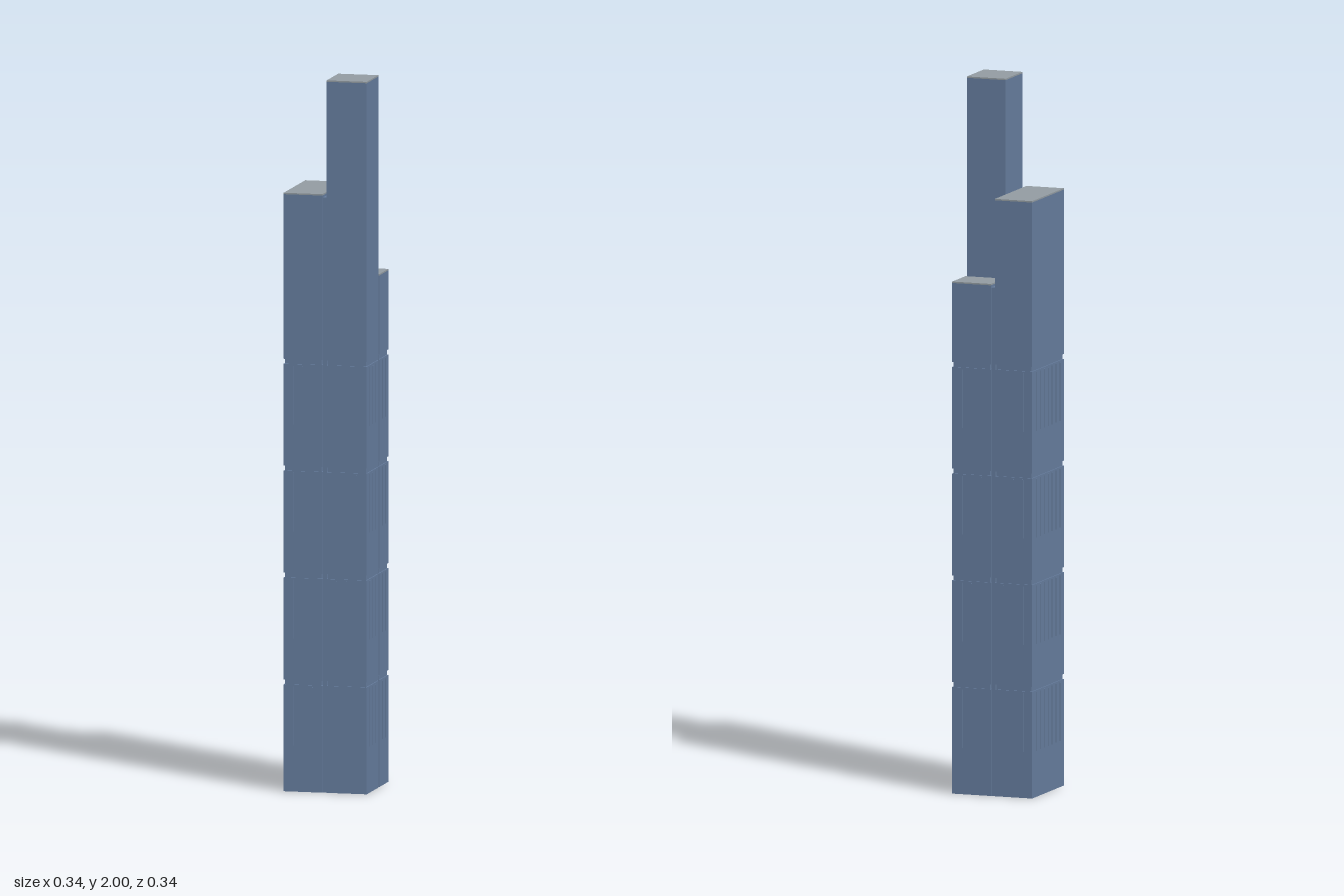
import * as THREE from 'three';

export function createModel() {
  const wall = new THREE.MeshStandardMaterial({ color: 0x667d9e });
  wall.name = 'blue glass wall';
  const roof = new THREE.MeshStandardMaterial({ color: 0x939ca2 });
  roof.name = 'grey roof';

  const tower = new THREE.Group();
  tower.name = 'tower';
  tower.rotation.y = THREE.MathUtils.degToRad(-40.5);

  // Box given by its two extremes on each axis
  const box = (name, mat, parent, x0, x1, y0, y1, z0, z1) => {
    const m = new THREE.Mesh(new THREE.BoxGeometry(x1 - x0, y1 - y0, z1 - z0), mat);
    m.position.set((x0 + x1) / 2, (y0 + y1) / 2, (z0 + z1) / 2);
    m.name = name;
    parent.add(m);
  };

  const X = 0.119, Z = 0.121; // half footprint
  const SEG = 0.3, BAND = 0.014, COUNT = 4, ROOF = 0.004;

  // Three shafts of different height, split by narrow slots
  const shafts = [
    { name: 'tallShaft', x: [0.004, X], z: [-0.009, Z], top: 2.0 },
    { name: 'wideShaft', x: [-X, -0.008], z: [-Z, Z], top: 1.68 },
    { name: 'lowShaft', x: [0.004, X], z: [-Z, -0.02], top: 1.44 },
  ];

  for (const { name, x: [x0, x1], z: [z0, z1], top } of shafts) {
    const g = new THREE.Group();
    g.name = name;
    tower.add(g);

    for (let i = 0; i < COUNT; i++) {
      const y0 = i * SEG + (i ? BAND : 0), y1 = (i + 1) * SEG;
      box('storeyBlock', wall, g, x0, x1, y0, y1, z0, z1);
      // recessed joint above each block
      const r = 0.003;
      box('joint', wall, g, x0 + r, x1 - r, y1, y1 + BAND, z0 + r, z1 - r);

      // slim fins on the upper part of the outer faces
      const f = 0.0015, d = 0.002, fy0 = y1 - 0.17, fy1 = y1 - 0.005;
      const nx = Math.round((x1 - x0) / 0.03), nz = Math.round((z1 - z0) / 0.03);
      for (let k = 1; k < nx; k++) {
        const x = x0 + ((x1 - x0) * k) / nx;
        if (z1 === Z) box('fin', wall, g, x - f, x + f, fy0, fy1, Z, Z + d);
        if (z0 === -Z) box('fin', wall, g, x - f, x + f, fy0, fy1, -Z - d, -Z);
      }
      for (let k = 1; k < nz; k++) {
        const z = z0 + ((z1 - z0) * k) / nz;
        if (x1 === X) box('fin', wall, g, X, X + d, fy0, fy1, z - f, z + f);
        if (x0 === -X) box('fin', wall, g, -X - d, -X, fy0, fy1, z - f, z + f);
      }
    }

    // plain upper shaft and roof plate
    box('upperShaft', wall, g, x0, x1, COUNT * SEG + BAND, top - ROOF, z0, z1);
    box('roof', roof, g, x0, x1, top - ROOF, top, z0, z1);
  }

  // Recessed infill in the slots, leaving an open well in the middle
  const s = 0.004;
  box('slotInfill', wall, tower, -0.008, 0.004, 0, 1.67, -0.009, Z - s);
  box('slotInfill', wall, tower, -0.008, 0.004, 0, 1.43, -Z + s, -0.02);
  box('slotInfill', wall, tower, 0.004, X - s, 0, 1.43, -0.02, -0.009);

  const model = new THREE.Group();
  model.name = 'skyscraper';
  model.add(tower);
  return model;
}
